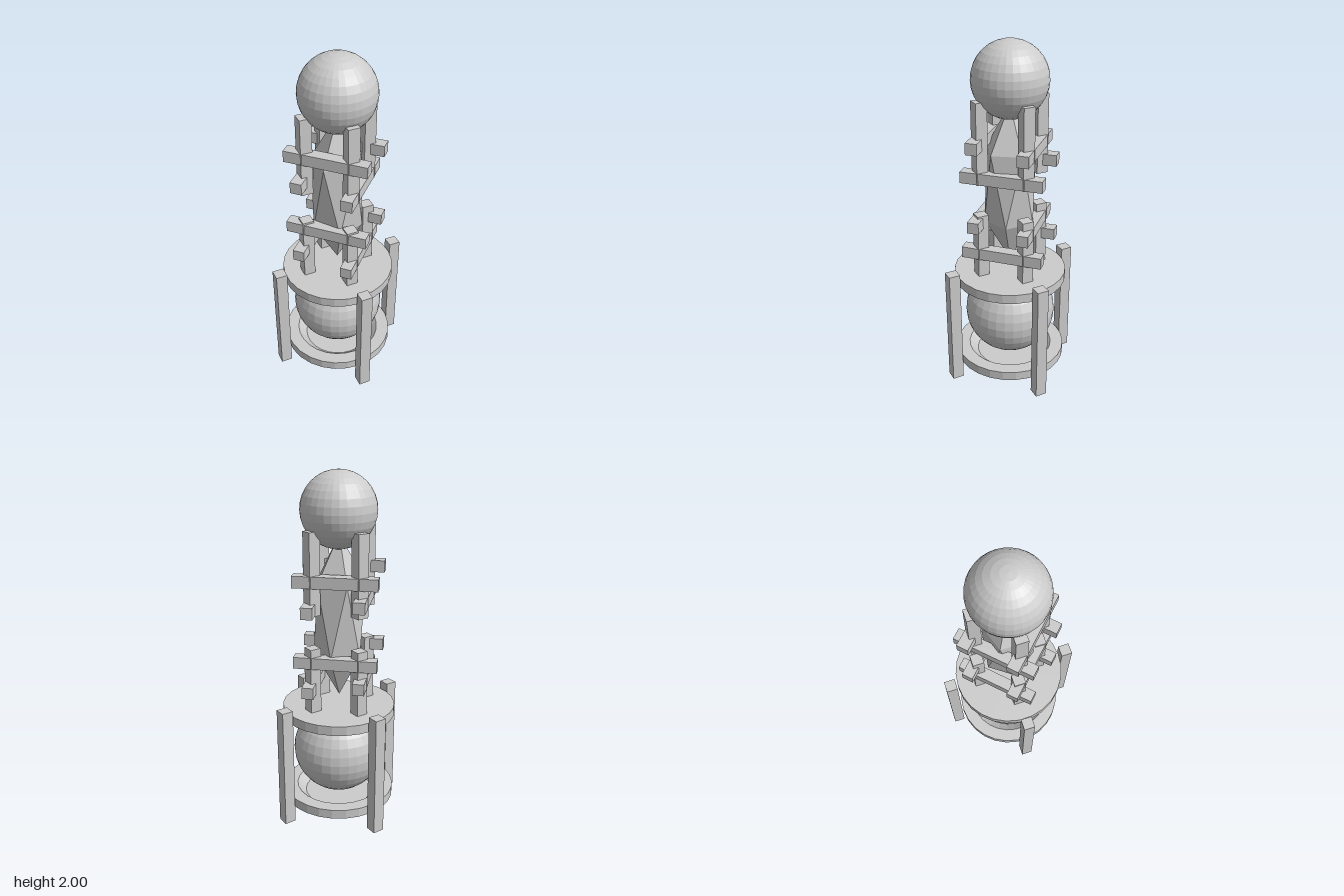
import * as THREE from 'three';
import { ConvexGeometry } from 'three/addons/geometries/ConvexGeometry.js';

export function createModel() {
  const model = new THREE.Group();
  const solid = new THREE.MeshStandardMaterial({ color: 0xcccccc, flatShading: true });
  const shell = new THREE.MeshStandardMaterial({ color: 0xcccccc, flatShading: true, side: THREE.DoubleSide });

  function add(name, geometry, x, y, z, material = solid) {
    const mesh = new THREE.Mesh(geometry, material);
    mesh.name = name;
    mesh.position.set(x, y, z);
    model.add(mesh);
    return mesh;
  }
  const lathe = (points) =>
    new THREE.LatheGeometry(points.map(([r, y]) => new THREE.Vector2(r, y)), 26);

  // Two spheres: one in the base cage, one on top
  add('lowerSphere', new THREE.SphereGeometry(0.265, 32, 16), 0, 0.385, 0);
  add('topSphere', new THREE.SphereGeometry(0.21, 32, 16), 0, 1.79, 0);

  // Base dish with a sunken floor, and an open-bottomed lid
  add('baseDish', lathe([[0, 0.088], [0.2, 0.088], [0.25, 0.137], [0.325, 0.137], [0.325, 0.083]]), 0, 0, 0, shell);
  add('baseLid', lathe([[0.325, 0.613], [0.325, 0.668], [0, 0.668]]), 0, 0, 0, shell);

  // Four legs around the base
  const W = 0.066;
  const legGeometry = new THREE.BoxGeometry(W, 0.71, W);
  for (let i = 0; i < 4; i++) {
    const a = (i * Math.PI) / 2;
    add('leg', legGeometry, 0.367 * Math.sin(a), 0.355, 0.367 * Math.cos(a));
  }

  // Two tiers of scaffold: four posts joined by four diagonal bars
  const CX = -0.005, CZ = -0.004;
  const postGeometry = new THREE.BoxGeometry(W, 0.458, W);
  const barGeometry = new THREE.BoxGeometry(0.467, W, W);
  // [x side, z side, height of bar in its tier]
  const bars = [[-1, 1, 1.463], [1, -1, 1.427], [-1, -1, 1.316], [1, 1, 1.272]];
  for (const drop of [0, 0.461]) {
    for (let i = 0; i < 4; i++) {
      const a = (i * Math.PI) / 2;
      add('scaffoldPost', postGeometry, CX + 0.185 * Math.sin(a), 1.465 - drop * 1.4 / 1.4 - (drop ? 0.187 : 0), CZ + 0.185 * Math.cos(a));
    }
    for (const [sx, sz, y] of bars) {
      const bar = add('scaffoldBar', barGeometry, CX + 0.1 * sx, y - drop, CZ + 0.1 * sz);
      bar.rotation.y = (sx * sz * Math.PI) / 4;
    }
  }

  // Stretched twenty-sided crystal: two poles and two staggered rings of five
  const R = 0.145, H = 0.47;
  const points = [new THREE.Vector3(0, H, 0), new THREE.Vector3(0, -H, 0)];
  for (let i = 0; i < 5; i++) {
    const a = (i * Math.PI * 2) / 5;
    const x = R * Math.cos(a), z = R * Math.sin(a);
    points.push(new THREE.Vector3(x, H * 0.447, z), new THREE.Vector3(-x, -H * 0.447, -z));
  }
  add('crystal', new ConvexGeometry(points), -0.003, 1.19, 0);

  return model;
}
